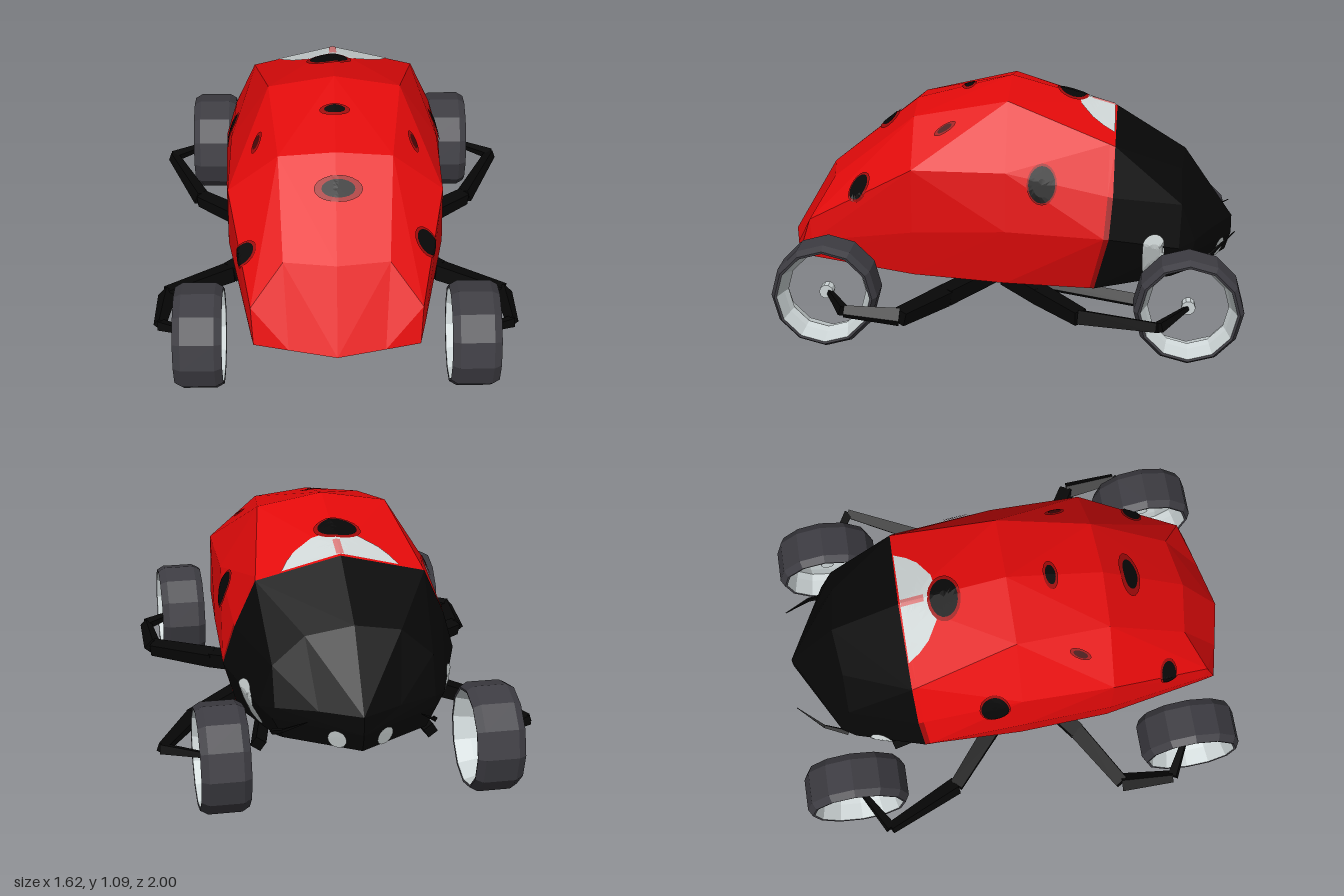
import * as THREE from 'three';

const mat = (name, color, extra = {}) => {
  const m = new THREE.MeshStandardMaterial({ color, flatShading: true, ...extra });
  m.name = name;
  return m;
};
const V = (x, y, z) => new THREE.Vector3(x, y, z);

// Half cross-sections [x, y, z]: crown, shoulder, side, widest, sill, keel
const waist = [[0, 1.09, .01], [.285, 1.04, .01], [.455, .77, .01], [.485, .52, .01], [.445, .275, .01], [0, .25, .01]];
const neck = [[0, .96, -.455], [.36, .87, -.45], [.45, .67, -.445], [.5, .5, -.43], [.43, .255, -.37], [0, .235, -.37]];
const collar = waist.map((p, i) => p.map((c, k) => c + (neck[i][k] - c) * .95));
const shellRings = [
  [[0, .355, 1], [.2, .358, .954], [.345, .36, .92], [.345, .36, .92], [.345, .36, .92], [0, .355, 1]],
  [[0, .68, .81], [.22, .675, .775], [.355, .515, .87], [.365, .42, .86], [.355, .345, .86], [0, .33, .8]],
  [[0, .98, .43], [.24, .955, .42], [.455, .775, .41], [.46, .5, .41], [.43, .3, .41], [0, .29, .42]],
  waist, collar, neck,
];
const headRings = [
  neck,
  [[0, .77, -.76], [.2, .73, -.74], [.335, .61, -.74], [.39, .43, -.73], [.32, .28, -.7], [0, .265, -.75]],
  [[0, .46, -.975], [.17, .46, -.885], [.335, .45, -.8], [.345, .4, -.79], [.3, .31, -.79], [0, .3, -.95]],
];
const fullRing = half => [...half, ...half.slice(1, 5).reverse().map(([x, y, z]) => [-x, y, z])];

function meshFrom(positions, material, name) {
  const g = new THREE.BufferGeometry();
  g.setAttribute('position', new THREE.Float32BufferAttribute(positions.flat(), 3));
  g.computeVertexNormals();
  const mesh = new THREE.Mesh(g, material);
  mesh.name = name;
  return mesh;
}

// Skin between mirrored rings, keeping the chosen strips and splitting each quad outwards
function loft(rings, keep, cap) {
  const full = rings.map(fullRing), out = [];
  for (let i = 0; i < full.length - 1; i++) {
    for (let j = 0; j < 10; j++) {
      if (!keep(j, i)) continue;
      const k = (j + 1) % 10;
      const a = full[i][j], b = full[i][k], c = full[i + 1][k], d = full[i + 1][j];
      const [ab, ac, ad] = [b, c, d].map(p => V(...p).sub(V(...a)));
      if (ab.cross(ad).dot(ac) > 0) out.push(a, b, c, a, c, d);
      else out.push(a, b, d, b, c, d);
    }
  }
  if (cap) {
    const last = full[full.length - 1];
    last.forEach((p, j) => out.push(cap, p, last[(j + 1) % 10]));
  }
  return out;
}

const ellipse = (ru, rv, tilt = 0, n = 20) => Array.from({ length: n }, (_, i) => {
  const a = i / n * Math.PI * 2, p = Math.cos(a) * ru, q = Math.sin(a) * rv;
  return [p * Math.cos(tilt) - q * Math.sin(tilt), p * Math.sin(tilt) + q * Math.cos(tilt)];
});

// Thin marking: an outline filled with rings, dropped onto the body along -n
function marking(target, center, n, outline, lift, material, name, rings = 3) {
  n = n.clone().normalize();
  const up = Math.abs(n.y) > .9 ? V(0, 0, -1) : V(0, 1, 0);
  const u = up.cross(n).normalize(), v = n.clone().cross(u);
  const ray = new THREE.Raycaster(), dir = n.clone().negate();
  const drop = ([s, t]) => {
    const o = center.clone().addScaledVector(u, s).addScaledVector(v, t).addScaledVector(n, 1);
    ray.set(o, dir);
    const hit = ray.intersectObject(target)[0];
    return hit ? hit.point.addScaledVector(n, lift).toArray() : null;
  };
  const grid = [];
  for (let r = 0; r <= rings; r++) grid.push(outline.map(([s, t]) => drop([s * r / rings, t * r / rings])));
  const out = [], tri = (...p) => { if (p.every(Boolean)) out.push(...p); };
  for (let r = 0; r < rings; r++) {
    outline.forEach((_, j) => {
      const k = (j + 1) % outline.length;
      tri(grid[r][j], grid[r + 1][j], grid[r + 1][k]);
      if (r > 0) tri(grid[r][j], grid[r + 1][k], grid[r][k]);
    });
  }
  return meshFrom(out, material, name);
}

// Tapered bar between two points
function bar(a, b, ra, rb, material, name, sides = 4) {
  const d = b.clone().sub(a);
  const mesh = new THREE.Mesh(new THREE.CylinderGeometry(rb, ra, d.length(), sides), material);
  mesh.position.copy(a).add(b).multiplyScalar(.5);
  mesh.quaternion.setFromUnitVectors(V(0, 1, 0), d.normalize());
  mesh.name = name;
  return mesh;
}

export function createModel() {
  const red = mat('shell red', 0xe30a0a);
  const darkRed = mat('spot edge red', 0xa00909);
  const bellyDark = mat('belly dark red', 0x450606);
  const black = mat('body black', 0x070707);
  const white = mat('pale grey', 0xcfd6d6);
  const pink = mat('stripe pink', 0xd87c7c);
  const tyreGrey = mat('tyre grey', 0x3d3c42);
  const rimGrey = mat('rim grey', 0xcdd5d6, { side: THREE.DoubleSide });
  const model = new THREE.Group();
  model.name = 'beetleCar';

  // Body, with a dark band where the shell sides meet the head
  const under = j => j === 4 || j === 5;
  const band = (j, i) => i === 4 && [2, 3, 6, 7].includes(j);
  const shell = meshFrom(loft(shellRings, (j, i) => !under(j) && !band(j, i)), red, 'shell');
  const head = meshFrom(loft(headRings, () => true, [0, .38, -.975]), black, 'head');
  const belly = meshFrom(loft(shellRings, under), darkRed, 'belly');
  model.add(shell, head, belly, meshFrom(loft(shellRings, band), darkRed, 'shellBand'));

  // Darkened middle of the belly
  model.add(marking(belly, V(0, .28, .25), V(0, -1, 0), ellipse(.37, .58), .006, bellyDark, 'bellyMiddle', 6));

  // Rear screen and its centre stripe
  const screen = [[.25, .062], [.17, .062], [.085, .062], [0, .062], [-.085, .062], [-.17, .062], [-.25, .062],
    [-.22, .01], [-.18, -.035], [-.1, -.085], [0, -.1], [.1, -.085], [.18, -.035], [.22, .01]];
  model.add(marking(shell, V(0, 1, -.385), V(0, 1, 0), screen, .004, white, 'screen', 6));
  model.add(marking(shell, V(0, 1, -.395), V(0, 1, 0),
    [[.016, .05], [0, .05], [-.016, .05], [-.016, -.05], [0, -.05], [.016, -.05]], .006, pink, 'screenStripe'));

  // Spots: centre, facing, radii, size of the dark edge, tilt, core colour
  const spots = [
    [V(-.02, 1, -.26), V(0, 1, 0), .085, .06, 1.2, 0, black],
    [V(0, 1.04, .2), V(0, 1, 0), .045, .022, 1.45, 0, black],
    [V(.01, .88, .55), V(0, .77, .64), .07, .04, 1.45, 0, black],
    [V(.36, .665, .635), V(.75, .4, .5), .042, .058, 1.2, 0, black],
    [V(-.37, .635, .67), V(-.95, .25, .25), .038, .055, 1.2, 0, black],
    [V(.46, .725, -.145), V(1, 0, 0), .057, .075, 1.12, 0, black],
    [V(-.46, .735, -.11), V(-1, 0, 0), .06, .075, 1.12, 0, black],
  ];
  for (const s of [1, -1]) {
    spots.push([V(s * .32, .915, .275), V(s * .7, .7, .1), .036, .014, 1.5, s * .7, bellyDark]);
  }
  for (const [c, n, ru, rv, edge, tilt, core] of spots) {
    model.add(marking(shell, c, n, ellipse(ru * edge, rv * edge, tilt), .006, darkRed, 'spotEdge'));
    model.add(marking(shell, c, n, ellipse(ru, rv, tilt), .009, core, 'spot'));
  }

  // Upright rounded outline for the cheek patches
  const capsule = ellipse(.047, .047).map(([p, q]) => [p, q + Math.sign(Math.round(q * 1e4)) * .055]);

  for (const s of [1, -1]) {
    // Pale cheek patch and lamp
    model.add(marking(head, V(s * .43, .403, -.62), V(s, 0, 0), capsule, .009, white, 'cheekPatch', 5));
    model.add(marking(head, V(s * .105, .345, -.93), V(s * .45, 0, -1), ellipse(.04, .042), .007, white, 'lamp'));

    // Feeler
    model.add(bar(V(s * .34, .33, -.77), V(s * .31, .38, -.87), .014, .009, black, 'feelerBase'));
    model.add(bar(V(s * .31, .38, -.87), V(s * .23, .46, -.975), .009, .002, black, 'feelerTip'));

    // Jointed legs
    const legs = {
      frontLeg: [V(s * .24, .245, .09), V(s * .47, .22, .27), V(s * .74, .225, .43), V(s * .755, .25, .66), V(s * .57, .275, .76)],
      rearLeg: [V(s * .24, .235, .02), V(s * .42, .215, -.14), V(s * .63, .2, -.32), V(s * .785, .225, -.64), V(s * .565, .232, -.77)],
    };
    const radii = [.05, .05, .042, .028, .012];
    for (const [name, pts] of Object.entries(legs)) {
      const leg = new THREE.Group();
      leg.name = name;
      for (let i = 0; i < 4; i++) leg.add(bar(pts[i], pts[i + 1], radii[i], radii[i + 1], black, name + 'Segment'));
      model.add(leg);
    }
    // Strut under the head
    model.add(bar(V(s * .24, .23, .02), V(s * .375, .18, -.58), .035, .035, black, 'headStrut'));

    // Hollow wheels
    const wheels = [['frontWheel', s * .577, .275, .76, 1], ['rearWheel', s * .565 - .01, .234, -.77, 1.025]];
    for (const [name, x, y, z, size] of wheels) {
      const wheel = new THREE.Group();
      wheel.name = name;
      const lathe = (pts, m, part) => {
        const profile = pts.map(([r, h]) => new THREE.Vector2(r * size, h));
        const mesh = new THREE.Mesh(new THREE.LatheGeometry(profile, 12), m);
        mesh.name = part;
        wheel.add(mesh);
      };
      lathe([[.197, -.1], [.207, -.102], [.225, -.07], [.225, .07], [.207, .102], [.197, .1]], tyreGrey, 'tyre');
      lathe([[.197, -.1], [.178, -.03], [.166, 0], [.178, .03], [.197, .1]], rimGrey, 'rim');
      const hub = new THREE.Mesh(new THREE.CylinderGeometry(.03, .03, .05, 10), rimGrey);
      hub.name = 'hub';
      wheel.add(hub);
      wheel.rotation.z = Math.PI / 2;
      wheel.position.set(x, y, z);
      model.add(wheel);
    }
  }
  return model;
}
